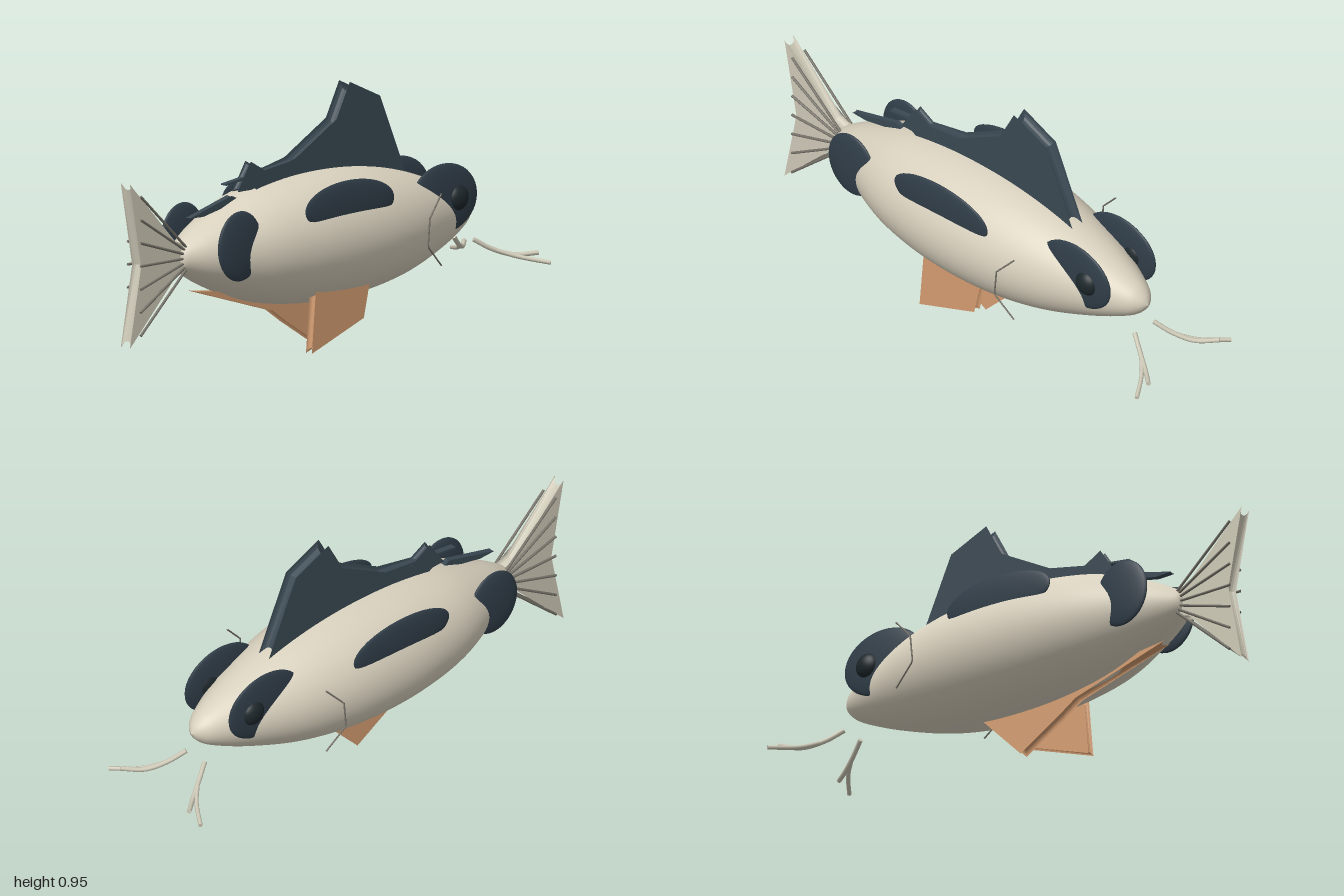
import * as THREE from 'three';

const mat = (name, color, side = THREE.FrontSide) => {
  const m = new THREE.MeshStandardMaterial({ color, side });
  m.name = name;
  return m;
};

export function createModel() {
  const cream = mat('cream skin', 0xd8d0bd);
  const pale = mat('pale tail', 0xcdc8b6, THREE.DoubleSide);
  const slate = mat('slate patch', 0x303d48);
  const slateFin = mat('slate fin', 0x3a4852, THREE.DoubleSide);
  const black = mat('eye black', 0x1d272b);
  const orange = mat('orange fin', 0xd39c70, THREE.DoubleSide);
  const grey = mat('grey line', 0x77736a);

  const model = new THREE.Group();
  model.name = 'fish';
  const CY = 0.412;

  const add = (name, geometry, material, x = 0, y = 0, z = 0) => {
    const mesh = new THREE.Mesh(geometry, material);
    mesh.name = name;
    mesh.position.set(x, y, z);
    model.add(mesh);
    return mesh;
  };

  // Flat fin whose rim is hollowed between its two faces
  const fin = (name, material, points, half, inset, z = 0) => {
    const shape = new THREE.Shape(points.map(([x, y]) => new THREE.Vector2(x, y)));
    const geo = new THREE.ExtrudeGeometry(shape, {
      depth: 0.002, bevelEnabled: true, bevelThickness: half - 0.001,
      bevelSize: -inset, bevelSegments: 4,
    });
    geo.translate(0, 0, -0.001);
    return add(name, geo, material, 0, 0, z);
  };

  const ball = (name, material, x, y, z, rx, ry, rz) =>
    add(name, new THREE.SphereGeometry(1, 32, 20), material, x, y, z).scale.set(rx, ry, rz);

  const tube = (name, material, points, radius, straight = false) => {
    const v = points.map((p) => new THREE.Vector3(...p));
    let curve = new THREE.CatmullRomCurve3(v);
    if (straight) {
      curve = new THREE.CurvePath();
      for (let i = 1; i < v.length; i++) curve.add(new THREE.LineCurve3(v[i - 1], v[i]));
    }
    add(name, new THREE.TubeGeometry(curve, 24, radius, 8), material);
    // Close both ends of the tube
    for (const [end, t] of [[v[0], 0], [v[v.length - 1], 1]]) {
      const cap = add(name + 'End', new THREE.CircleGeometry(radius, 8), material, ...end.toArray());
      const dir = curve.getTangent(t).multiplyScalar(t ? 1 : -1);
      cap.quaternion.setFromUnitVectors(new THREE.Vector3(0, 0, 1), dir);
    }
  };

  // Body: spindle turned about the long axis
  const profile = new THREE.SplineCurve([
    [0.03, -0.73], [0.055, -0.71], [0.118, -0.6], [0.198, -0.4], [0.236, -0.2], [0.247, 0],
    [0.236, 0.2], [0.2, 0.4], [0.135, 0.6], [0.073, 0.74], [0.035, 0.79], [0.001, 0.81],
  ].map(([r, x]) => new THREE.Vector2(r, x))).getPoints(60);
  const bodyGeo = new THREE.LatheGeometry([new THREE.Vector2(0, -0.735), ...profile], 64);
  bodyGeo.rotateZ(-Math.PI / 2);
  bodyGeo.scale(1, 0.985, 1.03);
  add('body', bodyGeo, cream, 0, CY, 0);

  // Dorsal fin, small rear fin and trailing spikes
  fin('dorsalFin', slateFin, [
    [0.455, 0.59], [0.32, 0.89], [0.16, 0.96], [0.09, 0.83], [-0.13, 0.71],
    [-0.39, 0.655], [-0.3, 0.6],
  ], 0.027, 0.03);
  fin('rearDorsalFin', slateFin, [
    [-0.25, 0.62], [-0.27, 0.68], [-0.35, 0.725], [-0.42, 0.62],
  ], 0.014, 0.012);
  fin('dorsalSpike', slateFin, [[-0.1, 0.69], [-0.1, 0.705], [-0.48, 0.657], [-0.48, 0.65]], 0.012, 0.001);
  fin('rearSpike', slateFin, [[-0.4, 0.59], [-0.45, 0.61], [-0.67, 0.552], [-0.6, 0.55]], 0.012, 0.003);

  // Belly fins
  fin('analFin', orange, [
    [0.19, 0.19], [0.01, 0.005], [-0.165, 0.11], [-0.24, 0.16], [-0.65, 0.28], [-0.3, 0.24], [0.1, 0.22],
  ], 0.019, 0.02);
  fin('pelvicFin', orange, [
    [0.12, 0.235], [0.09, 0.11], [-0.185, 0.01], [-0.165, 0.235],
  ], 0.015, 0.016, 0.15);

  // Tail fan
  fin('tailFin', pale, [
    [-0.7, 0.46], [-0.76, 0.48], [-1, 0.72], [-0.94, 0.41], [-1, 0.11], [-0.76, 0.345], [-0.7, 0.365],
  ], 0.023, 0.02);

  for (const s of [1, -1]) {
    // Tail rays
    for (let i = -3; i <= 3; i++) {
      tube('tailRay', grey, [[-0.71, CY + i * 0.014, s * 0.03], [-0.953, CY + i * 0.086, s * 0.033]], 0.005, true);
    }

    // Dark patches sunk into the flanks
    ball('eyePatch', slate, 0.56, 0.49, s * 0.12, 0.175, 0.13, 0.021);
    ball('flankPatch', slate, -0.033, 0.55, s * 0.211, 0.235, 0.092, 0.017);
    ball('rearPatch', slate, -0.545, 0.45, s * 0.145, 0.115, 0.13, 0.02);
    ball('eye', black, 0.624, 0.487, s * 0.125, 0.05, 0.05, 0.036);

    // Gill line
    tube('gillLine', grey, [
      [0.39, 0.545, s * 0.27], [0.315, 0.465, s * 0.284], [0.305, 0.36, s * 0.284], [0.39, 0.28, s * 0.27],
    ], 0.003, true);

    // Forked barbels
    tube('barbel', pale, [
      [0.79, 0.303, s * 0.05], [0.85, 0.265, s * 0.085], [0.92, 0.24, s * 0.13], [0.99, 0.246, s * 0.188],
    ], 0.009);
    tube('barbelFork', pale, [
      [0.86, 0.26, s * 0.09], [0.92, 0.235, s * 0.15], [0.99, 0.215, s * 0.25],
    ], 0.008);
  }
  return model;
}
